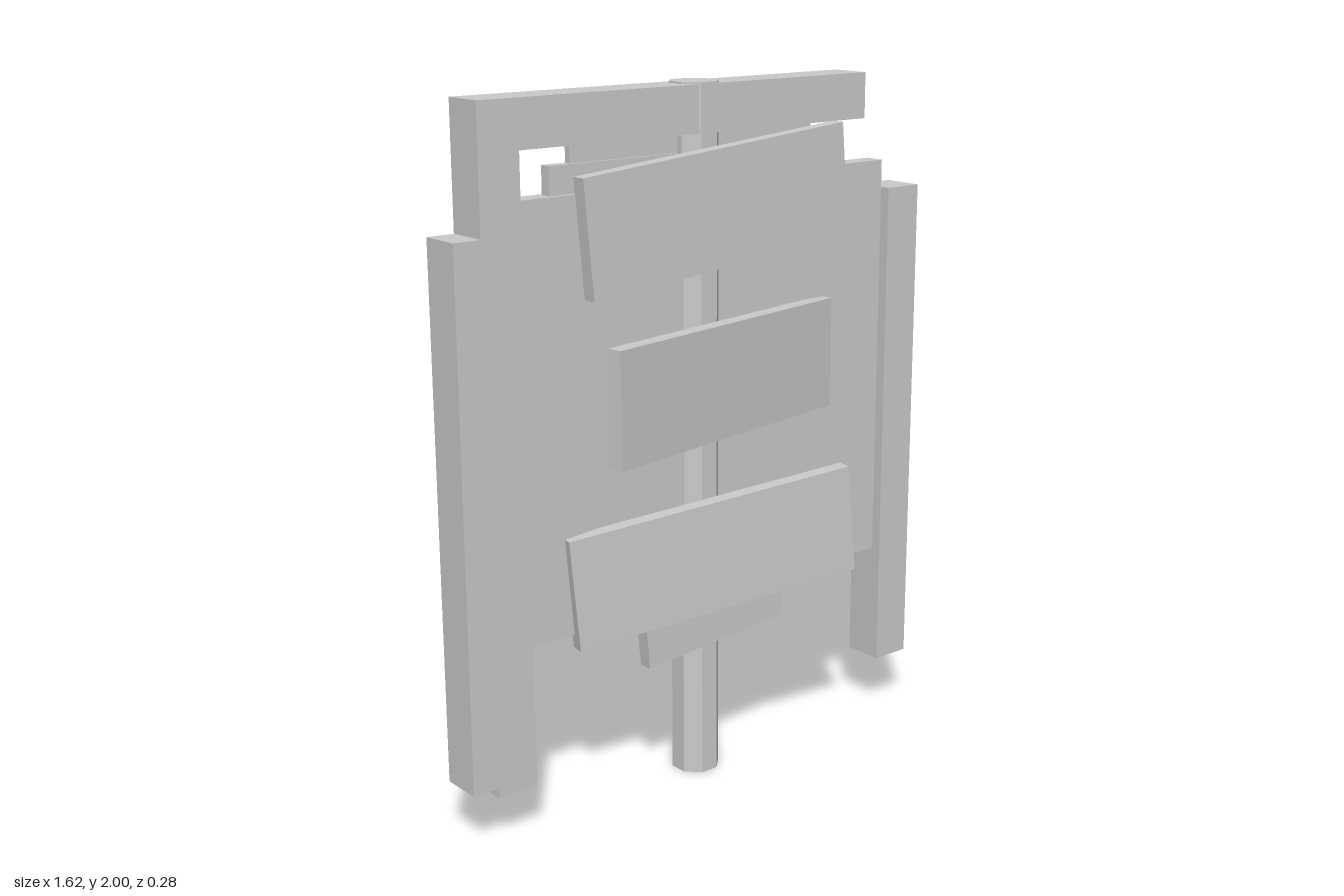
import * as THREE from 'three';

export function createModel() {
  const model = new THREE.Group();
  const material = new THREE.MeshStandardMaterial({ color: 0xcccccc, flatShading: true });
  const frameZ = -0.076;

  function add(name, geometry) {
    const mesh = new THREE.Mesh(geometry, material);
    mesh.name = name;
    model.add(mesh);
    return mesh;
  }

  // Upright box given by its x and y limits, centred on the frame plane
  function board(name, x0, x1, y0, y1, depth) {
    add(name, new THREE.BoxGeometry(x1 - x0, y1 - y0, depth))
      .position.set((x0 + x1) / 2, (y0 + y1) / 2, frameZ);
  }

  // Tilted plank: roll about z, then yaw about y, in degrees
  function plank(name, size, position, roll, yaw) {
    const mesh = add(name, new THREE.BoxGeometry(...size));
    mesh.position.set(...position);
    mesh.rotation.set(0, THREE.MathUtils.degToRad(yaw), THREE.MathUtils.degToRad(roll));
  }

  // Frame: top beam, its long post and the two outer posts
  board('topBeam', -0.73, 0.583, 1.865, 1.995, 0.122);
  board('longPost', -0.73, -0.608, 0.14, 1.865, 0.122);
  board('rightOuterPost', -0.81, -0.73, 0.17, 1.655, 0.122);
  board('leftOuterPost', 0.688, 0.81, 0.17, 1.655, 0.122);

  // Back panel with two thinner stepped boards above it
  board('backPanel', -0.608, 0.688, 0.53, 1.735, 0.06);
  board('lowerStep', -0.49, 0.49, 1.735, 1.812, 0.034);
  board('upperStep', -0.42, 0.42, 1.812, 1.865, 0.02);

  // Octagonal centre pole, flats facing the axes
  const pole = add('centrePole', new THREE.CylinderGeometry(0.0704, 0.0704, 2, 8)
    .rotateY(Math.PI / 8));
  pole.position.set(0, 1, frameZ);

  // Crooked sign planks on the front
  plank('topPlank', [0.9, 0.322, 0.042], [-0.002, 1.67, 0.033], 5.1, 0);
  plank('middlePlank', [0.9, 0.322, 0.045], [0.018, 1.195, 0.042], 0, 10);
  plank('lowerPlank', [0.9, 0.322, 0.045], [-0.02, 0.69, 0.037], 5.1, -10);
  plank('smallPlank', [0.497, 0.172, 0.042], [0, 0.502, -0.003], 5.1, 0);

  return model;
}
